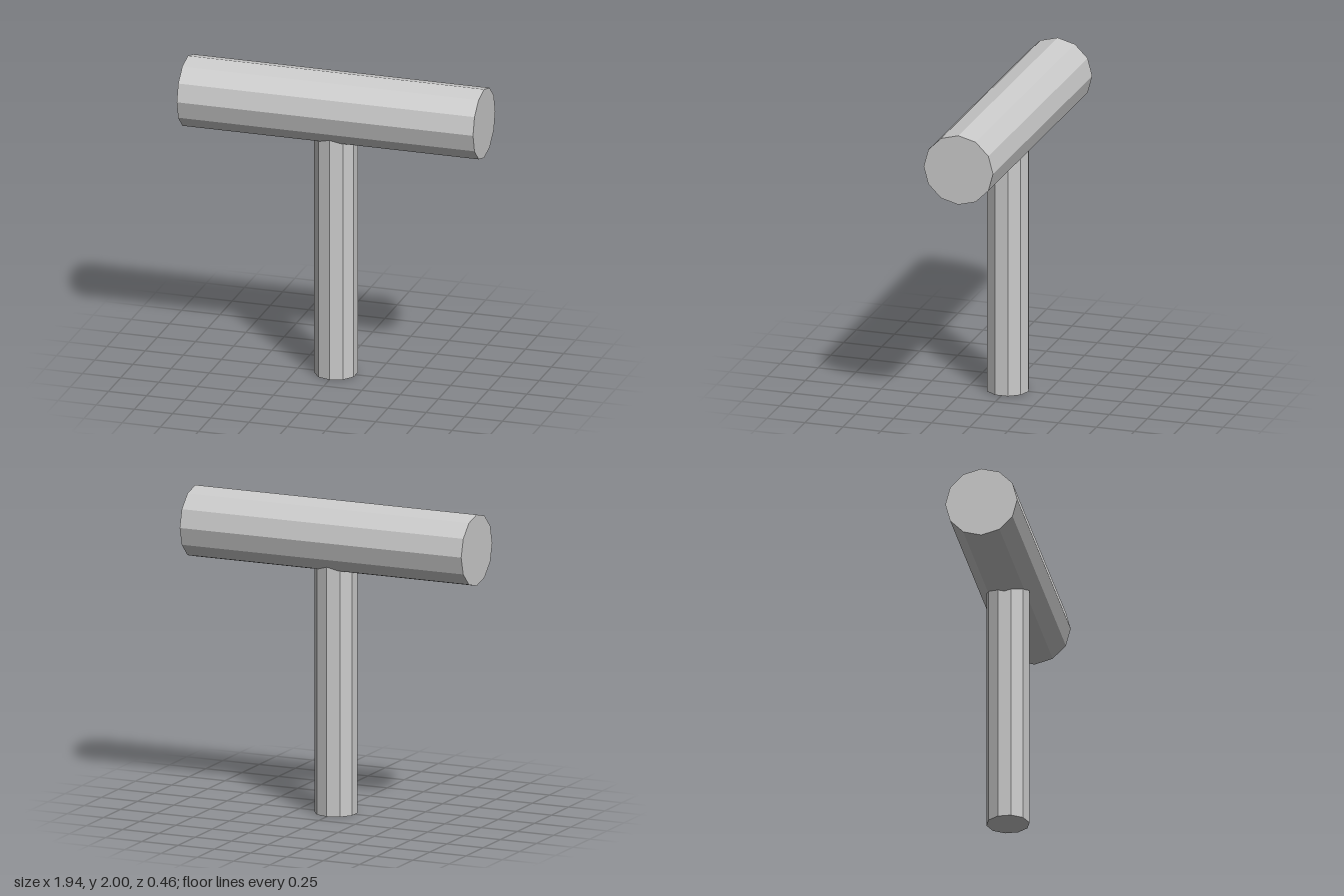
import * as THREE from 'three';

export function createModel() {
  const group = new THREE.Group();
  const material = new THREE.MeshStandardMaterial({ color: 0xcccccc, flatShading: true });

  // Faceted cylinder standing along y
  const addCylinder = (name, radius, length, sides, y) => {
    const mesh = new THREE.Mesh(new THREE.CylinderGeometry(radius, radius, length, sides), material);
    mesh.name = name;
    mesh.position.y = y;
    group.add(mesh);
    return mesh;
  };

  // Ten-sided handle, its top end sunk into the head
  const handleLength = 1.7;
  addCylinder('handle', 0.136, handleLength, 10, handleLength / 2);

  // Twelve-sided mallet head lying along x
  const headRadius = 0.228;
  const head = addCylinder('head', headRadius, 1.94, 12, 2 - headRadius);
  head.rotation.z = Math.PI / 2;

  return group;
}
